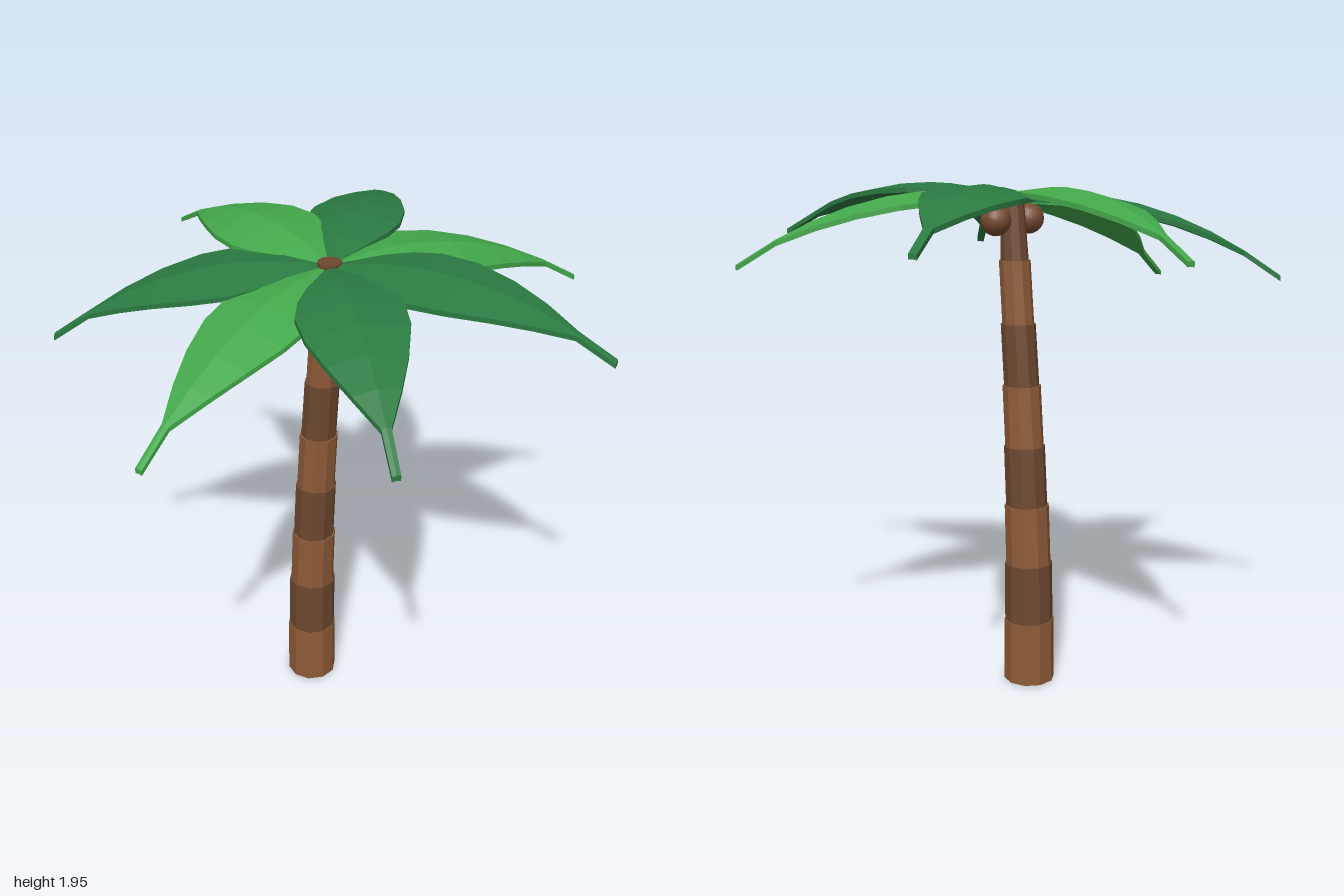
import * as THREE from 'three';

const flat = (name, color) => {
  const m = new THREE.MeshStandardMaterial({ color, flatShading: true });
  m.name = name;
  return m;
};

// Leaf outline: distance along the leaf (1 = tip), half width
const OUTLINE = [
  [0.02, 0.02], [0.16, 0.11], [0.25, 0.158], [0.34, 0.183], [0.47, 0.174],
  [0.61, 0.132], [0.74, 0.078], [0.865, 0.016], [1, 0.014],
];
const THICKNESS = 0.018;
const CROWN = new THREE.Vector3(0.012, 1.89, -0.012);
const TILT = 0.1; // the crown leans towards the front

// Arched leaf with a raised midrib, lofted through six-point sections
function leafGeometry(tipX, tipY, tipZ) {
  const dx = tipX - CROWN.x, dz = tipZ - CROWN.z;
  const length = Math.hypot(dx, dz);
  const c = dx / length, s = dz / length;
  const arch = 0.45;
  const rise = tipY - CROWN.y + TILT * dz + arch;
  const positions = [], index = [];

  OUTLINE.forEach(([t, w]) => {
    const ridge = rise * t - arch * t * t;
    const fold = w * 0.17;
    const section = [
      [-w, -fold], [0, 0], [w, -fold],
      [w, -fold - THICKNESS], [0, -THICKNESS], [-w, -fold - THICKNESS],
    ];
    for (const [side, drop] of section) {
      const x = c * t * length - s * side;
      const z = s * t * length + c * side;
      positions.push(CROWN.x + x, CROWN.y + ridge + drop - TILT * z, CROWN.z + z);
    }
  });

  const n = 6, last = (OUTLINE.length - 1) * n;
  for (let i = 0; i < last; i += n) {
    for (let j = 0; j < n; j++) {
      const k = (j + 1) % n;
      index.push(i + j, i + k, i + n + k, i + j, i + n + k, i + n + j);
    }
  }
  // End caps
  for (const [a, b, d] of [[0, 1, 4], [0, 4, 5], [1, 2, 3], [1, 3, 4]]) {
    index.push(a, d, b, last + a, last + b, last + d);
  }
  const g = new THREE.BufferGeometry();
  g.setAttribute('position', new THREE.Float32BufferAttribute(positions, 3));
  g.setIndex(index);
  g.computeVertexNormals();
  return g;
}

export function createModel() {
  const lightBark = flat('lightBark', 0x8f5b38);
  const darkBark = flat('darkBark', 0x6d482f);
  const lightLeaf = flat('lightLeaf', 0x43a84b);
  const darkLeaf = flat('darkLeaf', 0x2b7a41);
  const shell = new THREE.MeshStandardMaterial({ color: 0x764a30 });
  shell.name = 'coconutShell';

  const model = new THREE.Group();
  model.name = 'palmTree';
  const add = (parent, name, geometry, material) => {
    const mesh = new THREE.Mesh(geometry, material);
    mesh.name = name;
    parent.add(mesh);
    return mesh;
  };

  // Trunk: stepped bands following a gentle bend
  const trunk = new THREE.Group();
  trunk.name = 'trunk';
  model.add(trunk);
  const heights = [0, 0.25, 0.483, 0.718, 0.952, 1.187, 1.422, 1.66, 1.905];
  const centres = [-0.086, -0.084, -0.08, -0.07, -0.057, -0.041, -0.022, -0.003, 0.014];
  const radii = [0.1, 0.095, 0.088, 0.081, 0.075, 0.068, 0.061, 0.053];
  radii.forEach((r, i) => {
    const h = heights[i + 1] - heights[i];
    const g = new THREE.CylinderGeometry(i === 7 ? 0.045 : r * 0.985, r, h, 10);
    const p = g.attributes.position;
    // Shear each band so its ends stay level
    for (let v = 0; v < p.count; v++) {
      const t = p.getY(v) / h + 0.5;
      p.setX(v, p.getX(v) + THREE.MathUtils.lerp(centres[i], centres[i + 1], t));
    }
    const band = add(trunk, 'trunkBand' + (i + 1), g, i % 2 ? darkBark : lightBark);
    band.position.set(0, heights[i] + h / 2, -0.014);
  });

  // Leaves: tip position and colour
  const leaves = new THREE.Group();
  leaves.name = 'leaves';
  model.add(leaves);
  [
    [0.41, 1.68, -0.96, lightLeaf],
    [0.99, 1.74, -0.35, darkLeaf],
    [0.84, 1.66, 0.575, darkLeaf],
    [0.11, 1.54, 0.96, lightLeaf],
    [-0.735, 1.61, 0.65, darkLeaf],
    [-1.0, 1.745, -0.215, lightLeaf],
    [-0.5, 1.78, -0.91, darkLeaf],
  ].forEach(([x, y, z, material], i) => {
    add(leaves, 'leaf' + (i + 1), leafGeometry(x, y, z), material);
  });

  // Coconuts under the crown
  [[0.01, 0.072], [0.085, -0.012], [0.01, -0.098]].forEach(([x, z], i) => {
    const nut = add(model, 'coconut' + (i + 1), new THREE.SphereGeometry(0.058, 14, 10), shell);
    nut.position.set(x, 1.81, z);
  });

  return model;
}
